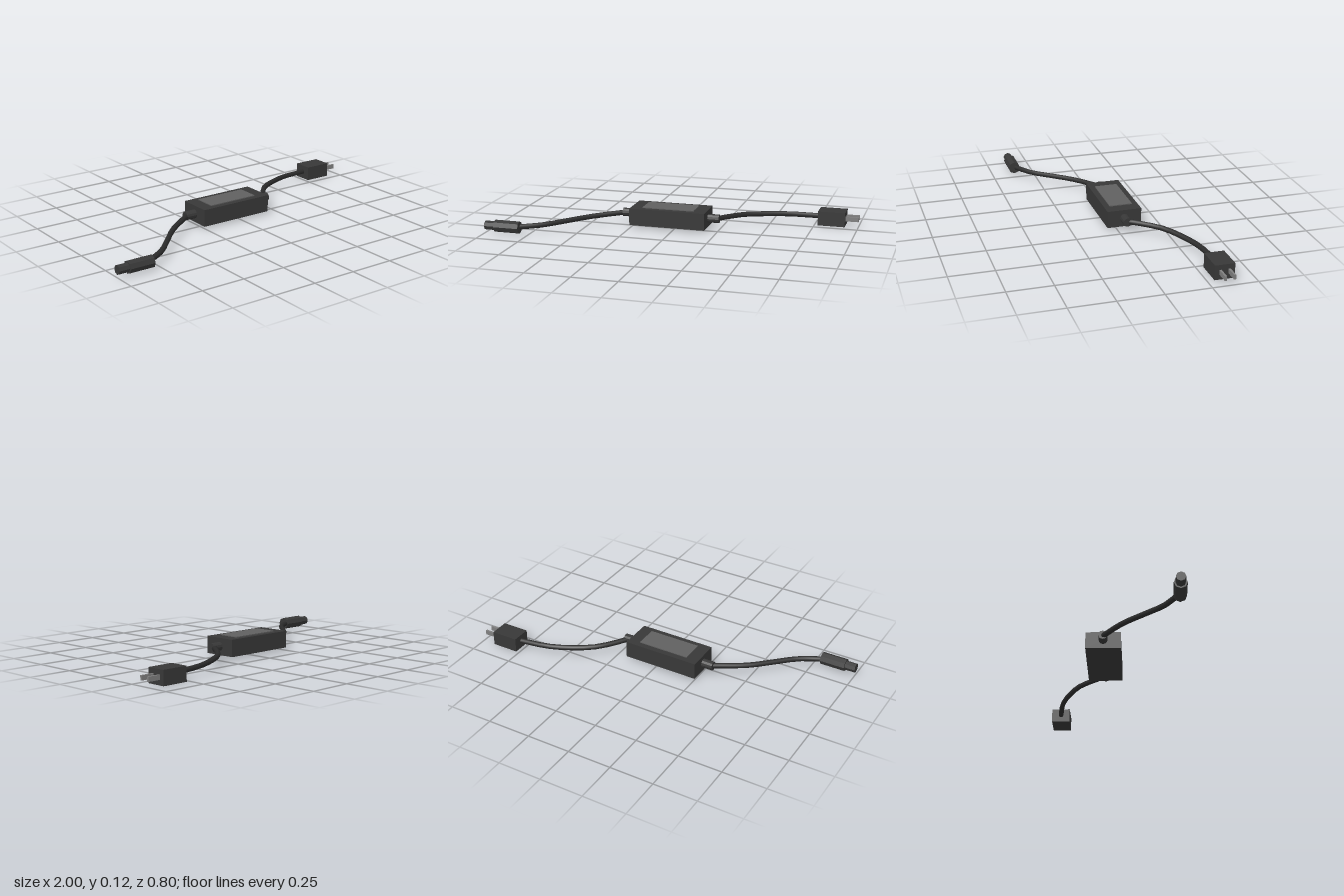
import * as THREE from 'three';

const mat = (color, flatShading = true) => {
  const m = new THREE.MeshStandardMaterial({ color });
  m.flatShading = flatShading;
  return m;
};

export function createModel() {
  const model = new THREE.Group();
  model.name = 'powerAdapter';
  const plastic = mat(0x383838);
  const rubber = mat(0x2c2c2c, false);
  const sticker = mat(0x606060);
  const metal = mat(0x808080);

  const add = (name, geometry, material, x, y, z) => {
    const mesh = new THREE.Mesh(geometry, material);
    mesh.name = name;
    mesh.position.set(x, y, z);
    model.add(mesh);
    return mesh;
  };
  const box = (name, material, w, h, d, x, y, z) =>
    add(name, new THREE.BoxGeometry(w, h, d), material, x, y, z);
  // Cylinder lying along x
  const rod = (name, material, radius, x0, x1, y, z, sides = 8) =>
    add(name, new THREE.CylinderGeometry(radius, radius, x1 - x0, sides).rotateZ(Math.PI / 2),
      material, (x0 + x1) / 2, y, z);
  // Cord following a curve through the given points
  const cord = (name, points, segments) => {
    const curve = new THREE.CatmullRomCurve3(points.map(p => new THREE.Vector3(...p)));
    add(name, new THREE.TubeGeometry(curve, segments, 0.015, 8), rubber, 0, 0, 0);
  };

  // Power brick with its label and strain reliefs
  box('brick', plastic, 0.44, 0.097, 0.195, -0.035, 0.0635, -0.0425);
  box('label', sticker, 0.3, 0.01, 0.13, -0.035, 0.112, -0.0425);
  rod('rightStrainRelief', plastic, 0.025, -0.32, -0.25, 0.064, -0.042, 12);
  rod('leftStrainRelief', plastic, 0.025, 0.18, 0.25, 0.064, -0.042, 12);

  // Output cord and barrel connector
  cord('outputCord', [
    [-0.31, 0.063, -0.04], [-0.47, 0.055, 0.07], [-0.58, 0.05, 0.18],
    [-0.69, 0.045, 0.29], [-0.81, 0.042, 0.36],
  ], 10);
  rod('connectorGrip', plastic, 0.035, -0.94, -0.795, 0.042, 0.367);
  rod('connectorTip', plastic, 0.026, -1, -0.94, 0.042, 0.367);

  // Mains cord and plug
  cord('mainsCord', [
    [0.235, 0.063, -0.05], [0.28, 0.06, -0.115], [0.36, 0.057, -0.205],
    [0.47, 0.052, -0.27], [0.6, 0.048, -0.32], [0.78, 0.043, -0.345],
  ], 10);
  box('plug', plastic, 0.155, 0.082, 0.11, 0.847, 0.041, -0.345);
  for (const [name, z] of [['rightProng', -0.37], ['leftProng', -0.32]]) {
    box(name, metal, 0.08, 0.026, 0.011, 0.96, 0.042, z);
  }
  return model;
}
